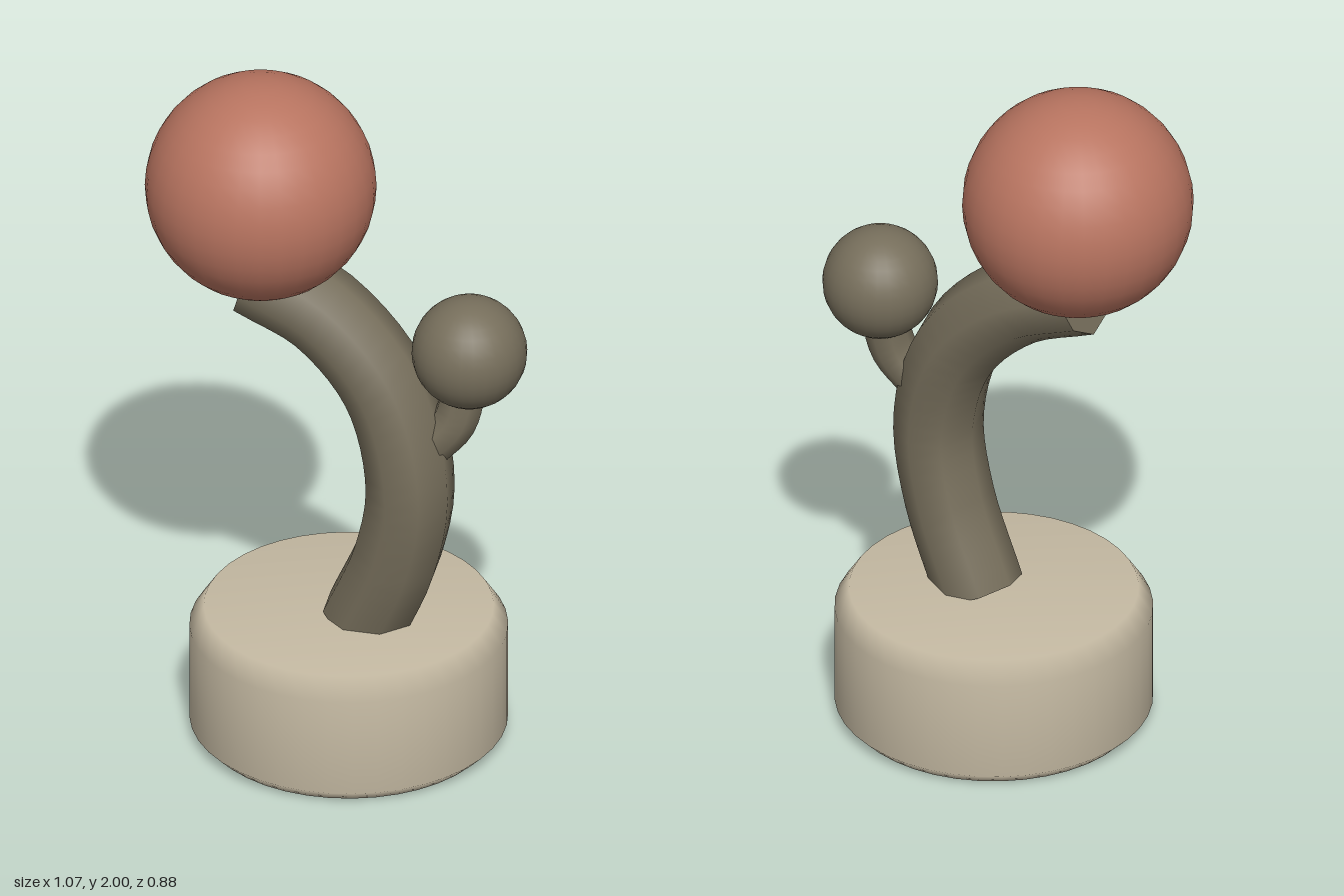
import * as THREE from 'three';

const mat = (name, color) => {
  const m = new THREE.MeshStandardMaterial({ color });
  m.name = name;
  return m;
};

export function createModel() {
  const model = new THREE.Group();
  model.name = 'pottedBulbPlant';

  const stone = mat('pale stone', 0xc4b9a2);
  const bark = mat('olive bark', 0x766e5b);
  const clay = mat('terracotta', 0xb87460);

  const add = (name, geometry, material, position = [0, 0, 0], parent = model) => {
    const mesh = new THREE.Mesh(geometry, material);
    mesh.name = name;
    mesh.position.set(...position);
    parent.add(mesh);
    return mesh;
  };

  // Curved stalk with flat discs closing both ends
  const stalk = (name, points, radius, sides, steps) => {
    const group = new THREE.Group();
    group.name = name;
    model.add(group);
    const curve = new THREE.CatmullRomCurve3(points.map((p) => new THREE.Vector3(...p)));
    const tube = new THREE.TubeGeometry(curve, steps, radius, sides);
    add(name + 'Body', tube, bark, [0, 0, 0], group);
    const frames = curve.computeFrenetFrames(steps);
    [0, 1].forEach((t) => {
      const i = t * steps;
      const out = frames.tangents[i].clone().multiplyScalar(t ? 1 : -1);
      // Align the disc's corners with the tube's ring
      const x = frames.normals[i].clone();
      const y = new THREE.Vector3().crossVectors(out, x);
      const disc = new THREE.CircleGeometry(radius, sides);
      disc.applyMatrix4(new THREE.Matrix4().makeBasis(x, y, out));
      add(name + (t ? 'TopEnd' : 'BottomEnd'), disc, bark, curve.getPoint(t).toArray(), group);
    });
  };

  // Round base with chamfered rims
  const profile = [
    [0, 0], [0.405, 0], [0.44, 0.035], [0.44, 0.325], [0.4, 0.385], [0, 0.385],
  ].map(([r, y]) => new THREE.Vector2(r, y));
  add('base', new THREE.LatheGeometry(profile, 40), stone, [0.025, 0, 0]);

  // Leaning trunk
  stalk('trunk', [
    [0.08, 0.36, 0], [0.19, 0.61, 0], [0.23, 0.85, 0],
    [0.15, 1.12, 0], [-0.03, 1.31, 0.03], [-0.23, 1.4, 0.08],
  ], 0.125, 8, 24);

  // Short side branch
  stalk('branch', [
    [0.28, 0.97, -0.03], [0.34, 1.05, -0.06], [0.365, 1.2, -0.085],
  ], 0.065, 8, 10);

  // Round crowns
  add('largeCrown', new THREE.SphereGeometry(0.32, 32, 20), clay, [-0.215, 1.68, 0.08]);
  add('smallCrown', new THREE.SphereGeometry(0.16, 28, 18), bark, [0.372, 1.265, -0.083]);

  return model;
}
